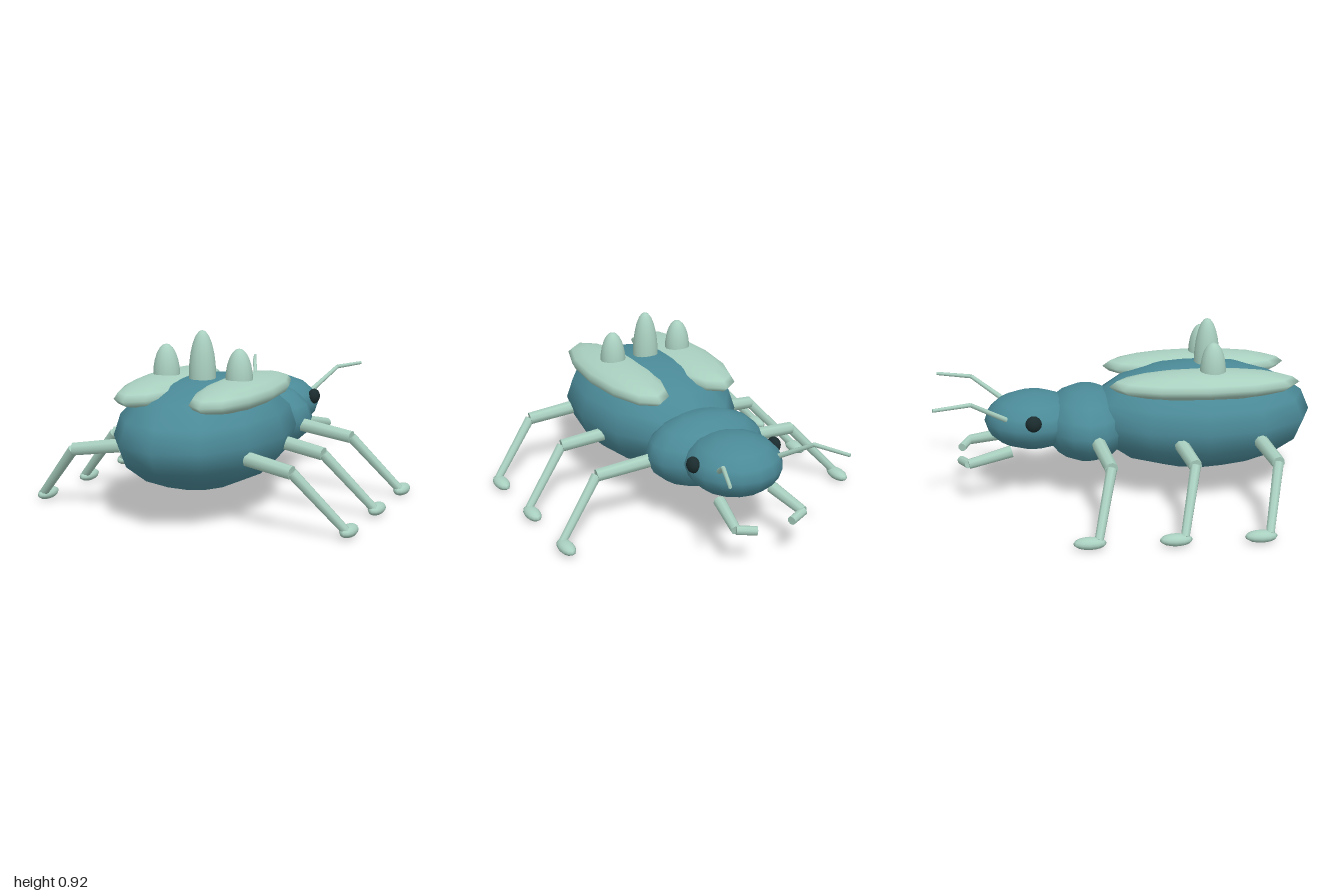
import * as THREE from 'three';

const mat = (color) => new THREE.MeshStandardMaterial({ color });

export function createModel() {
  const beetle = new THREE.Group();
  beetle.name = 'beetle';
  const teal = mat(0x4b8a98), pale = mat(0xa9d0c0), dark = mat(0x1b2c2e);

  // Low-poly, smooth-shaded ellipsoid
  function ellipsoid(name, material, pos, radii, w = 16, h = 8, parent = beetle) {
    const mesh = new THREE.Mesh(new THREE.SphereGeometry(1, w, h), material);
    mesh.name = name;
    mesh.position.set(...pos);
    mesh.scale.set(...radii);
    parent.add(mesh);
  }

  // Tapered rod from point a to point b
  function rod(name, a, b, ra, rb, parent, sides = 8) {
    const from = new THREE.Vector3(...a), to = new THREE.Vector3(...b);
    const dir = to.clone().sub(from);
    const mesh = new THREE.Mesh(new THREE.CylinderGeometry(rb, ra, dir.length(), sides), pale);
    mesh.name = name;
    mesh.position.copy(from).add(to).multiplyScalar(0.5);
    mesh.quaternion.setFromUnitVectors(new THREE.Vector3(0, 1, 0), dir.normalize());
    parent.add(mesh);
  }

  // Body
  ellipsoid('abdomen', teal, [0, 0.41, 0.385], [0.42, 0.28, 0.605], 12, 8);
  ellipsoid('thorax', teal, [0, 0.375, -0.21], [0.33, 0.195, 0.23]);
  ellipsoid('head', teal, [0, 0.4, -0.49], [0.248, 0.15, 0.255]);

  // Bumps along the back
  ellipsoid('centerBump', pale, [0, 0.69, 0.43], [0.068, 0.23, 0.068], 16, 12);

  for (const [side, s] of [['left', 1], ['right', -1]]) {
    ellipsoid(side + 'Bump', pale, [s * 0.2, 0.68, 0.43], [0.068, 0.16, 0.068], 16, 12);
    ellipsoid(side + 'WingCase', pale, [s * 0.2, 0.62, 0.39], [0.17, 0.073, 0.495], 12, 8);
    ellipsoid(side + 'Eye', dark, [s * 0.238, 0.445, -0.495], [0.033, 0.042, 0.042], 12, 8);

    // Three legs, evenly spaced
    ['front', 'middle', 'rear'].forEach((place, i) => {
      const leg = new THREE.Group();
      leg.name = `${side}${place[0].toUpperCase()}${place.slice(1)}Leg`;
      beetle.add(leg);
      const z = -0.13 + i * 0.415;
      const root = [s * (i === 0 ? 0.3 : 0.345), 0.352, z - 0.04];
      const knee = [s * 0.59, 0.318, z];
      const ankle = [s * 0.83, 0.045, z - 0.085];
      rod('thigh', root, knee, 0.037, 0.034, leg);
      rod('shin', knee, ankle, 0.027, 0.022, leg);
      ellipsoid('foot', pale, [s * 0.83, 0.035, z - 0.128], [0.04, 0.03, 0.08], 12, 8, leg);
    });

    // Bent antenna
    const antenna = new THREE.Group();
    antenna.name = side + 'Antenna';
    beetle.add(antenna);
    const bend = [s * 0.26, 0.565, -0.81];
    rod('antennaBase', [s * 0.17, 0.45, -0.63], bend, 0.014, 0.011, antenna);
    rod('antennaTip', bend, [s * 0.337, 0.565, -0.996], 0.011, 0.009, antenna);

    // Hooked jaw
    const jaw = new THREE.Group();
    jaw.name = side + 'Jaw';
    beetle.add(jaw);
    const hook = [s * 0.195, 0.227, -0.83];
    rod('jawBase', [s * 0.155, 0.275, -0.61], hook, 0.032, 0.026, jaw);
    rod('jawTip', hook, [s * 0.1, 0.217, -0.87], 0.023, 0.023, jaw);
  }
  return beetle;
}
